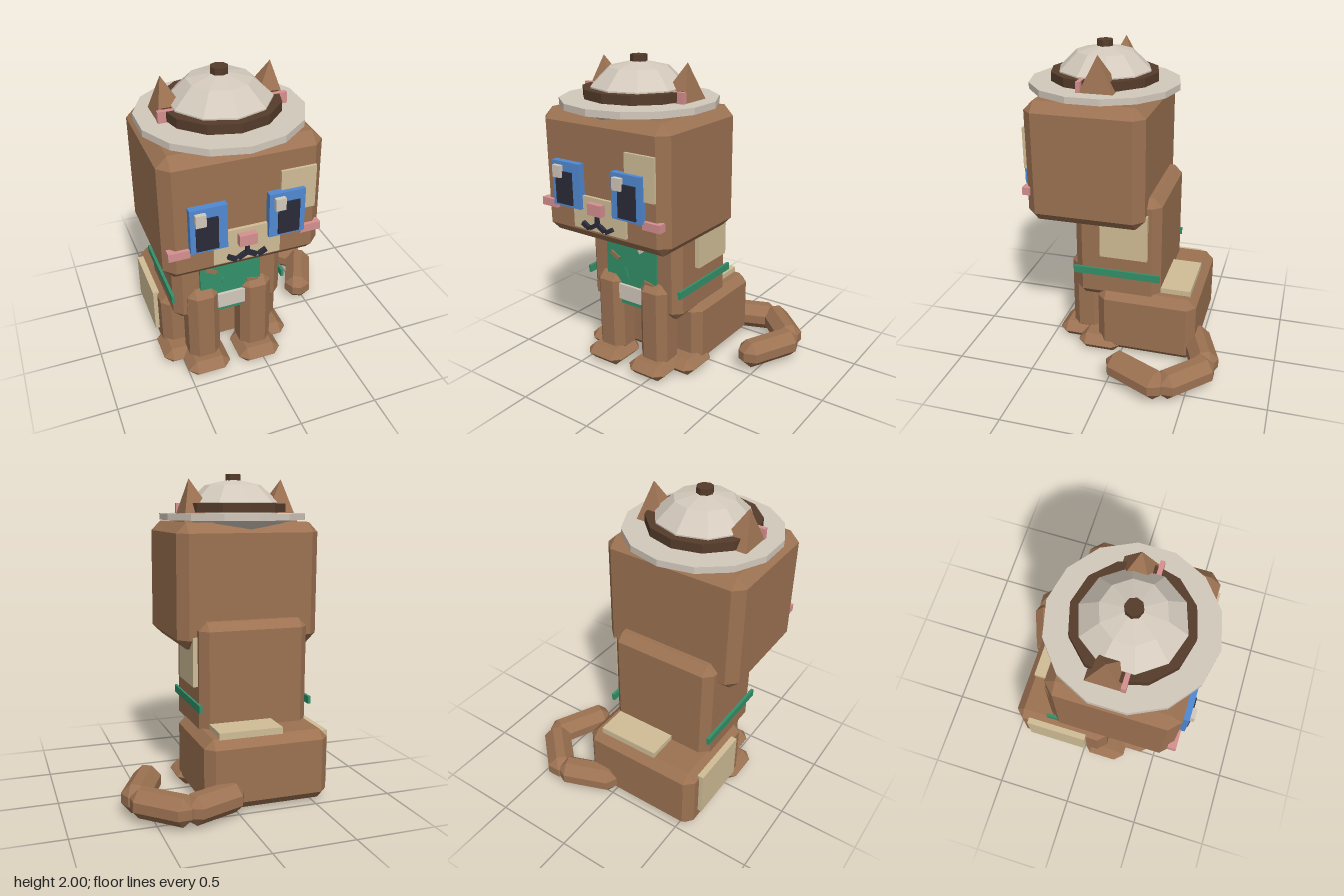
import * as THREE from 'three';
import { ConvexGeometry } from 'three/addons/geometries/ConvexGeometry.js';

const mat = (name, color) => {
  const m = new THREE.MeshStandardMaterial({ color, flatShading: true });
  m.name = name;
  return m;
};

// Box with every edge and corner cut by a flat chamfer b
function chamferBox(w, h, d, b) {
  const pts = [];
  for (const x of [-1, 1]) for (const y of [-1, 1]) for (const z of [-1, 1]) {
    const p = [x * w / 2, y * h / 2, z * d / 2];
    const q = [x * (w / 2 - b), y * (h / 2 - b), z * (d / 2 - b)];
    pts.push(new THREE.Vector3(p[0], q[1], q[2]), new THREE.Vector3(q[0], p[1], q[2]), new THREE.Vector3(q[0], q[1], p[2]));
  }
  return new ConvexGeometry(pts);
}

export function createModel() {
  const model = new THREE.Group();
  model.name = 'cat';
  const fur = mat('brown fur', 0x9c7252);
  const dark = mat('dark brown', 0x553c2b);
  const cream = mat('cream fur', 0xd0bd96);
  const pale = mat('pale grey', 0xd3c9bc);
  const green = mat('green', 0x33906a);
  const blue = mat('blue', 0x5189d2);
  const pink = mat('pink', 0xd69090);
  const black = mat('near black', 0x2b2b3a);
  const CX = -0.2; // the cat's own centre line

  const add = (name, geo, m, x = 0, y = 0, z = 0) => {
    const mesh = new THREE.Mesh(geo, m);
    mesh.name = name;
    mesh.position.set(x, y, z);
    model.add(mesh);
    return mesh;
  };
  // Boxes given by their limits on each axis; b > 0 chamfers them
  const block = (name, m, [x0, x1], [y0, y1], [z0, z1], b = 0) => add(name,
    b ? chamferBox(x1 - x0, y1 - y0, z1 - z0, b) : new THREE.BoxGeometry(x1 - x0, y1 - y0, z1 - z0),
    m, (x0 + x1) / 2, (y0 + y1) / 2, (z0 + z1) / 2);

  // Main masses
  block('head', fur, [-0.66, 0.265], [0.937, 1.703], [-0.165, 0.583], 0.062);
  block('torso', fur, [-0.55, 0.155], [0.395, 1.115], [-0.25, 0.31], 0.052);
  block('haunches', fur, [-0.593, 0.198], [0.02, 0.463], [-0.49, 0.157], 0.054);

  // Legs and paws, mirrored about the centre line
  for (const s of [-1, 1]) {
    const fx = CX + s * 0.172, hx = CX + s * 0.295;
    block('frontLeg', fur, [fx - 0.102, fx + 0.102], [0.06, 0.63], [0.165, 0.367], 0.05);
    block('frontPaw', fur, [fx - 0.14, fx + 0.14], [0.005, 0.115], [0.17, 0.457], 0.053);
    block('hindPaw', fur, [hx - 0.13, hx + 0.13], [0.005, 0.115], [0, 0.29], 0.053);
  }

  // Tail: three overlapping chamfered bars
  const tail = [[-0.02, -0.46, 0.36, -0.605], [0.315, -0.63, 0.61, -0.35], [0.613, -0.39, 0.427, 0]];
  for (const [x0, z0, x1, z1] of tail) {
    const bar = add('tail', chamferBox(0.176, 0.176, Math.hypot(x1 - x0, z1 - z0), 0.058), fur,
      (x0 + x1) / 2, 0.117, (z0 + z1) / 2);
    bar.rotation.y = Math.atan2(x1 - x0, z1 - z0);
  }

  // Fur patches
  block('foreheadPatch', cream, [0, 0.205], [1.27, 1.53], [0.57, 0.6]);
  block('muzzle', cream, [-0.39, 0], [1.02, 1.225], [0.57, 0.603]);
  block('flankPatch', cream, [0.14, 0.185], [0.715, 1.02], [-0.175, 0.13]);
  block('hipPatch', cream, [-0.62, -0.58], [0.127, 0.43], [-0.39, 0.02]);
  block('rumpPatch', cream, [-0.297, 0.105], [0.45, 0.497], [-0.443, -0.2]);

  // Eyes
  for (const x of [-0.42, 0.028]) {
    block('eye', blue, [x - 0.105, x + 0.105], [1.142, 1.415], [0.57, 0.626]);
  }
  for (const x of [-0.432, 0.037]) {
    block('pupil', black, [x - 0.063, x + 0.063], [1.157, 1.357], [0.6, 0.635]);
  }
  for (const x of [-0.47, -0.02]) {
    block('eyeHighlight', pale, [x - 0.03, x + 0.03], [1.32, 1.393], [0.6, 0.652]);
  }

  // Cheeks, nose and mouth
  for (const s of [-1, 1]) {
    const x = CX + s * 0.384;
    block('cheek', pink, [x - 0.061, x + 0.061], [1.108, 1.157], [0.555, 0.605]);
  }
  block('nose', pink, [-0.252, -0.148], [1.13, 1.2], [0.59, 0.64]);
  block('mouthStem', black, [-0.21, -0.19], [1.06, 1.13], [0.59, 0.625]);
  for (const s of [-1, 1]) {
    for (const [dx, y, a] of [[0.03, 1.055, -0.52], [0.088, 1.05, 0.52]]) {
      add('mouth', new THREE.BoxGeometry(0.055, 0.026, 0.035), black, CX + s * dx, y, 0.607).rotation.z = s * a;
    }
  }

  // Bib with pocket, scattered flecks and side straps
  block('bib', green, [-0.39, 0], [0.43, 1.0], [0.29, 0.326]);
  block('bibPocket', pale, [-0.285, -0.108], [0.467, 0.57], [0.3, 0.345]);
  for (const [x, y, a, m] of [[-0.32, 0.755, -0.5, fur], [-0.098, 0.84, 0.66, pale],
    [-0.235, 0.648, -1.3, green], [-0.055, 0.617, -0.17, fur]]) {
    add('bibFleck', new THREE.BoxGeometry(0.075, 0.026, 0.016), m, x, y, 0.326).rotation.z = a;
  }
  for (const s of [-1, 1]) {
    const x = CX + s * 0.36;
    block('strap', green, [x - 0.009, x + 0.009], [0.567, 0.615], [-0.252, 0.31]);
  }

  // Ears: four-sided cones with the tip pushed outward
  for (const s of [-1, 1]) {
    const ear = new THREE.ConeGeometry(Math.SQRT1_2, 1, 4);
    ear.rotateY(Math.PI / 4);
    ear.scale(0.23, 0.27, 0.26);
    const p = ear.attributes.position;
    for (let i = 0; i < p.count; i++) p.setX(i, p.getX(i) + s * 0.05 * (p.getY(i) / 0.27 + 0.5));
    ear.computeVertexNormals();
    add('ear', ear, fur, CX + s * 0.262, 1.835, 0.147);
    const x = CX + s * 0.322;
    block('innerEar', pink, [x - 0.045, x + 0.045], [1.7, 1.82], [0.24, 0.267]);
  }

  // Hat: brim, sloping underside, band, faceted crown and top button
  const hat = (name, geo, m, y) => add(name, geo, m, CX, y, 0.196);
  hat('hatBrim', new THREE.CylinderGeometry(0.475, 0.475, 0.04, 14), pale, 1.735);
  hat('hatUnderside', new THREE.CylinderGeometry(0.4, 0.34, 0.06, 10), pale, 1.69);
  hat('hatBand', new THREE.CylinderGeometry(0.34, 0.34, 0.055, 12), dark, 1.79);
  const crown = new THREE.SphereGeometry(1, 10, 5);
  crown.rotateY(Math.PI / 2);
  crown.scale(0.308, 0.213, 0.308);
  hat('hatCrown', crown, pale, 1.76);
  hat('hatButton', new THREE.CylinderGeometry(0.051, 0.051, 0.05, 8), dark, 1.975);

  return model;
}
